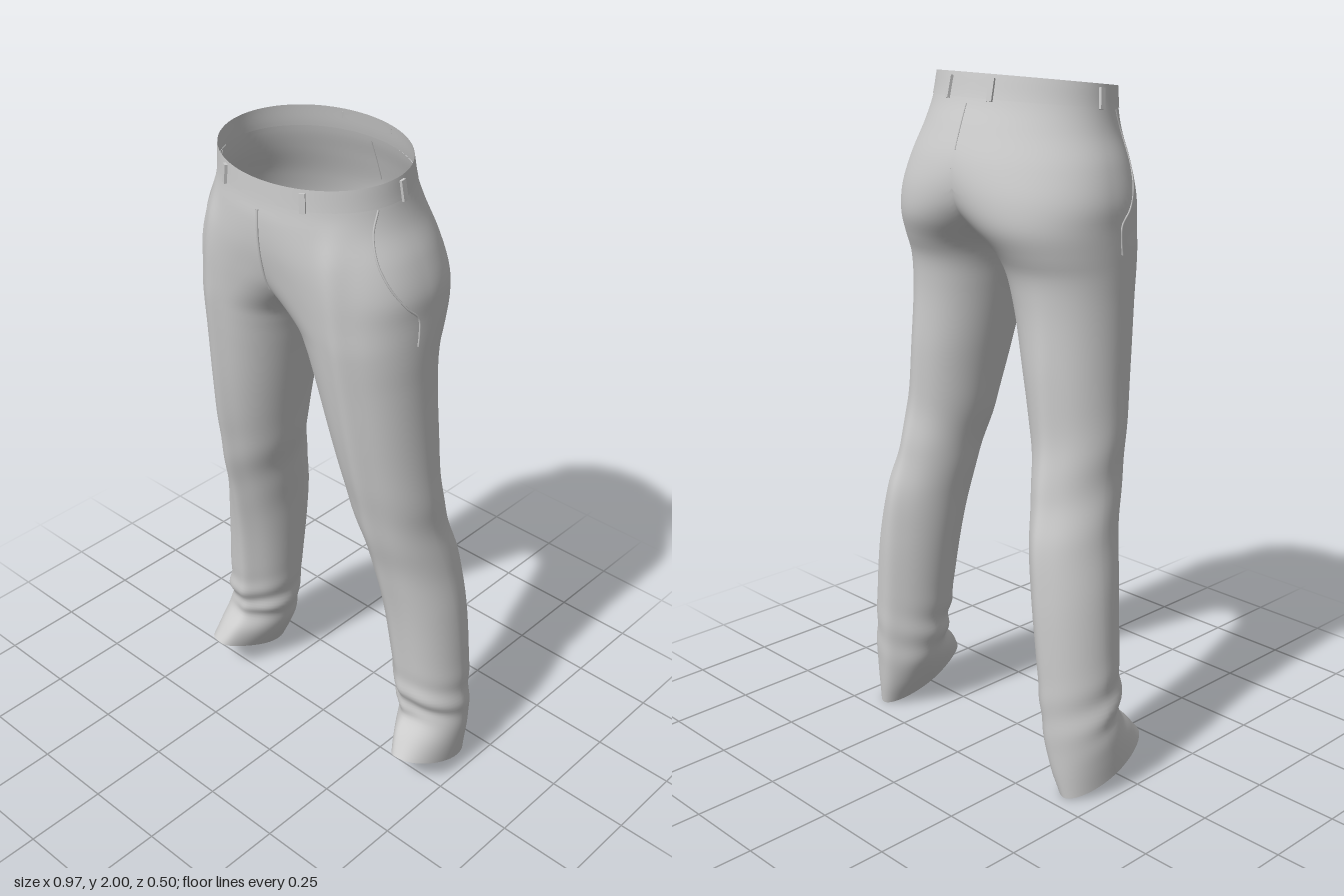
import * as THREE from 'three';
import { mergeVertices } from 'three/addons/utils/BufferGeometryUtils.js';

// Left leg sections: height at back, rise of the front edge, outer x, inner x, front z, back z.
// A negative inner x means the section is cut at the centre plane and joins its mirror image.
const SECTIONS = [
  [0.00, 0.12, 0.48, 0.325, 0.09, -0.205],
  [0.07, 0.10, 0.484, 0.292, 0.05, -0.215],
  [0.15, 0.07, 0.484, 0.268, 0.005, -0.222],
  [0.25, 0.03, 0.478, 0.255, 0.012, -0.228],
  [0.40, 0.00, 0.468, 0.238, 0.02, -0.232],
  [0.60, 0.00, 0.446, 0.212, 0.04, -0.232],
  [0.75, 0.00, 0.418, 0.192, 0.066, -0.22],
  [0.87, 0.00, 0.398, 0.172, 0.095, -0.19],
  [1.00, 0.00, 0.39, 0.14, 0.125, -0.166],
  [1.20, 0.00, 0.377, 0.095, 0.162, -0.162],
  [1.40, 0.00, 0.37, 0.045, 0.19, -0.163],
  [1.48, 0.00, 0.37, 0.02, 0.20, -0.176],
  [1.53, 0.00, 0.37, -0.005, 0.206, -0.20],
  [1.60, 0.00, 0.369, -0.09, 0.215, -0.236],
  [1.67, 0.00, 0.368, -0.20, 0.226, -0.249],
  [1.76, 0.00, 0.345, -0.30, 0.24, -0.243],
  [1.86, -0.02, 0.308, -0.305, 0.244, -0.212],
  [1.93, -0.04, 0.293, -0.293, 0.24, -0.186],
  [2.00, -0.05, 0.286, -0.286, 0.237, -0.17],
];
const profile = new THREE.CubicInterpolant(
  SECTIONS.map(s => s[0]), SECTIONS.flatMap(s => s.slice(1)), 5, new Float32Array(5));

const { smoothstep, clamp } = THREE.MathUtils;
const bell = (v, mid, width) => Math.exp(-(((v - mid) / width) ** 2));
const power = (v, e) => Math.sign(v) * Math.abs(v) ** e;
// Exponent of the section: square hips in front, round seat, leg backs drawn to a crease
const exponent = (h, front) => front
  ? 1 - 0.15 * bell(h, 1.66, 0.16)
  : 1 + 0.1 * (1 - smoothstep(h, 0.8, 1.5));

// Angle past the front (or back) where a section meets the centre plane or inner seam
function centreAngle(h, front) {
  const [, xo, xi] = profile.evaluate(h);
  const s = Math.max(-1, -(xo + xi) / (xo - xi));
  return Math.asin(power(s, 1 / exponent(h, front)));
}

// Point of the cloth at height h and angle a (0 front, PI/2 outer side, PI back)
function surfacePoint(h, a, offset = 0) {
  const [rise, xo, xi, zf, zb] = profile.evaluate(h);
  const e = exponent(h, Math.cos(a) > 0);
  const s = power(Math.sin(a), e), c = power(Math.cos(a), e);
  // cloth folds in front above the hem, and faintly around the knee
  const fold = 0.008 * Math.sin(h * 46 + 2 * a) * bell(h, 0.25, 0.09) * (0.6 + 0.4 * c)
    + 0.002 * Math.sin(h * 28 + 2 * a + 1) * bell(h, 0.9, 0.15);
  let x = (xo + xi) / 2 + s * ((xo - xi) / 2 + offset + fold);
  let z = (zf + zb) / 2 + c * ((zf - zb) / 2 + offset + fold);
  // pressed creases, front and back
  const fade = 1 - smoothstep(h, 1.75, 1.93);
  const backFade = 1 - smoothstep(h, 1.2, 1.5);
  z += (c > 0 ? 0.011 * fade : 0.006 * backFade) * c * bell(x, 0.36 - 0.08 * h, 0.03);
  if (h > 1.5 && x < 0.008) x = 0;
  return new THREE.Vector3(x, h + rise * (c + 1) / 2, z);
}

// Both mirrored halves of the cloth between two heights, welded where they meet
function clothGeometry(h0, h1, rows, offset) {
  const cols = 96, pos = [], index = [];
  for (const side of [1, -1]) {
    const base = pos.length / 3;
    for (let i = 0; i <= rows; i++) {
      const h = h0 + (h1 - h0) * i / rows;
      const first = centreAngle(h, true), last = Math.PI - centreAngle(h, false);
      for (let j = 0; j <= cols; j++) {
        const a = clamp(Math.PI * (2 * j / cols - 0.5), first, last);
        const p = surfacePoint(h, a, offset);
        pos.push(p.x * side, p.y, p.z);
      }
    }
    const samePoint = (a, b) => [0, 1, 2].every(k => Math.abs(pos[a * 3 + k] - pos[b * 3 + k]) < 1e-6);
    const addFace = (a, b, c) => {
      if (samePoint(a, b) || samePoint(b, c) || samePoint(a, c)) return;
      index.push(a, ...(side > 0 ? [b, c] : [c, b]));
    };
    for (let i = 0; i < rows; i++) {
      for (let j = 0; j < cols; j++) {
        const lo = base + i * (cols + 1) + j, hi = lo + cols + 1;
        addFace(lo, lo + 1, hi + 1);
        addFace(lo, hi + 1, hi);
      }
    }
  }
  let g = new THREE.BufferGeometry();
  g.setAttribute('position', new THREE.Float32BufferAttribute(pos, 3));
  g.setIndex(index);
  g = mergeVertices(g, 1e-5);
  g.computeVertexNormals();
  return g;
}

export function createModel() {
  const model = new THREE.Group();
  model.name = 'trousers';
  const cloth = new THREE.MeshStandardMaterial({ color: 0xcccccc, side: THREE.DoubleSide });
  const add = (name, geometry) => {
    const mesh = new THREE.Mesh(geometry, cloth);
    mesh.name = name;
    model.add(mesh);
    return mesh;
  };
  const seam = (name, points, side, radius) => {
    const path = points.map(([h, a]) => {
      const p = surfacePoint(h, a);
      p.x *= side;
      return p;
    });
    add(name, new THREE.TubeGeometry(new THREE.CatmullRomCurve3(path), 40, radius, 6));
  };

  add('legsAndSeat', clothGeometry(0, 1.937, 130, 0));
  add('waistband', clothGeometry(1.935, 2, 6, 0.002));

  // Slanted side pockets, each with a short seam below
  const pocket = [[1.93, 1.24], [1.86, 1.13], [1.78, 1.07], [1.71, 1.12], [1.65, 1.27],
    [1.61, 1.42], [1.57, 1.44], [1.53, 1.44]];
  seam('leftPocketEdge', pocket, 1, 0.003);
  seam('rightPocketEdge', pocket, -1, 0.003);

  // Front fly and centre back seam
  seam('fly', [1.9, 1.82, 1.74, 1.68, 1.63].map(h => [h, centreAngle(h, true)]), 1, 0.004);
  seam('backSeam', [1.92, 1.87, 1.8].map(h => [h, Math.PI - centreAngle(h, false)]), 1, 0.002);

  // Belt loops around the waistband
  for (const side of [1, -1]) {
    for (const a of [0.48, 1.6, Math.PI - 0.28]) {
      const top = surfacePoint(1.99, a, 0.006), low = surfacePoint(1.93, a, 0.006);
      const out = surfacePoint(1.96, a, 0.05).sub(surfacePoint(1.96, a)).setY(0);
      for (const v of [top, low, out]) v.x *= side;
      const up = top.clone().sub(low);
      const loop = add('beltLoop', new THREE.BoxGeometry(0.016, up.length(), 0.008));
      loop.position.copy(top).add(low).multiplyScalar(0.5);
      up.normalize();
      const across = up.clone().cross(out).normalize();
      loop.quaternion.setFromRotationMatrix(
        new THREE.Matrix4().makeBasis(across, up, across.clone().cross(up)));
    }
  }

  // Closing tab inside the front of the waistband
  const tab = add('closingTab', new THREE.BoxGeometry(0.1, 0.045, 0.006));
  tab.position.set(0, 1.91, 0.222);
  return model;
}
